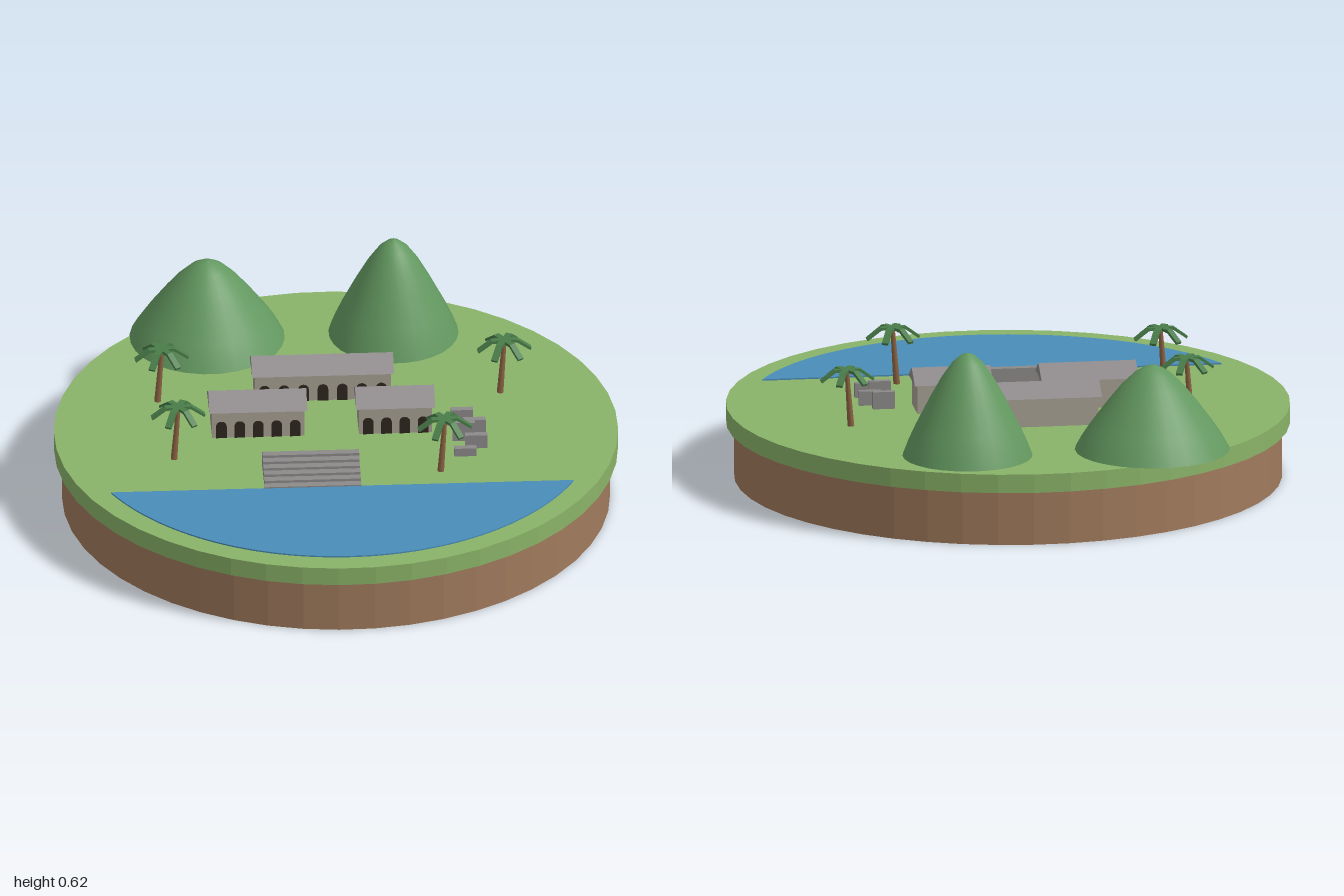
import * as THREE from 'three';

const mat = (name, color) => {
  const m = new THREE.MeshStandardMaterial({ color });
  m.name = name;
  return m;
};

export function createModel() {
  const grass = mat('grass', 0x8ab368), soil = mat('soil', 0xa07a5c), water = mat('water', 0x4a8db8);
  const hillGreen = mat('hill green', 0x639860), wall = mat('wall stone', 0xa8a193), roofGrey = mat('roof grey', 0x8f8a8c);
  const dark = mat('arch dark', 0x2e2620), stone = mat('step stone', 0x8d8a8a);
  const bark = mat('bark', 0x8a6242), leaf = mat('palm leaf', 0x4a7d4a);

  const model = new THREE.Group();
  const G = 0.255; // ground level
  const CZ = 0.037; // centre of the disc along z
  const add = (parent, name, geo, material, x = 0, y = 0, z = 0) => {
    const mesh = new THREE.Mesh(geo, material);
    mesh.name = name;
    mesh.position.set(x, y, z);
    parent.add(mesh);
    return mesh;
  };
  const faceted = (geo) => {
    const g = geo.toNonIndexed();
    g.computeVertexNormals();
    return g;
  };

  // Round base
  add(model, 'soilBase', faceted(new THREE.CylinderGeometry(0.935, 0.935, 0.19, 48)), soil, 0, 0.095, CZ);
  add(model, 'grassDisc', faceted(new THREE.CylinderGeometry(0.9625, 0.9625, 0.065, 48)), grass, 0, 0.2225, CZ);

  // Hills: smooth bell profile turned around its axis
  const profile = [[1, 0], [0.92, 0.13], [0.81, 0.28], [0.58, 0.56], [0.4, 0.76], [0.23, 0.91], [0.1, 0.98], [0, 1]];
  for (const [x, z, r, h] of [[-0.148, -0.735, 0.265, 0.295], [0.449, -0.515, 0.222, 0.36]]) {
    const pts = profile.map(([a, b]) => new THREE.Vector2(a * r, b * h));
    add(model, 'hill', new THREE.LatheGeometry(pts, 28), hillGreen, x, G, z);
  }

  // Village is turned 20 degrees against the front
  const village = new THREE.Group();
  village.name = 'village';
  village.position.set(0, G, CZ);
  village.rotation.y = -Math.PI / 9;
  model.add(village);

  // Water: a segment of a circle, cut along its shore
  const R = 0.885, a = Math.asin(0.399 / R);
  const pond = new THREE.Shape();
  pond.absarc(0, 0, R, a, Math.PI - a, false);
  pond.closePath();
  const pondGeo = new THREE.ExtrudeGeometry(pond, { depth: 0.006, bevelEnabled: false, curveSegments: 32 });
  pondGeo.rotateX(Math.PI / 2);
  add(village, 'water', pondGeo, water, 0, 0.005, 0);

  // Buildings with gabled roofs and a row of arches on the front
  const arch = new THREE.Shape();
  const aw = 0.018, ah = 0.044;
  arch.moveTo(-aw, 0);
  arch.lineTo(aw, 0);
  arch.lineTo(aw, ah);
  arch.absarc(0, ah, aw, 0, Math.PI, false);
  arch.closePath();
  const archGeo = new THREE.ExtrudeGeometry(arch, { depth: 0.004, bevelEnabled: false, curveSegments: 8 });
  const building = (x, z, length, width, arches) => {
    const house = new THREE.Group();
    house.name = 'building';
    house.position.set(x, 0, z);
    village.add(house);
    const wl = length - 0.02, ww = width - 0.02;
    add(house, 'walls', new THREE.BoxGeometry(wl, 0.1, ww), wall, 0, 0.05, 0);
    const gable = new THREE.Shape([
      new THREE.Vector2(-width / 2, 0), new THREE.Vector2(width / 2, 0), new THREE.Vector2(0, 0.045)]);
    const roof = new THREE.ExtrudeGeometry(gable, { depth: length, bevelEnabled: false });
    roof.translate(0, 0, -length / 2).rotateY(Math.PI / 2);
    add(house, 'roof', roof, roofGrey, 0, 0.1, 0);
    for (let i = 0; i < arches; i++) {
      add(house, 'arch', archGeo, dark, ((i + 0.5) / arches - 0.5) * wl, 0, ww / 2);
    }
  };
  building(-0.033, -0.273, 0.485, 0.145, 7);
  building(-0.267, -0.039, 0.335, 0.16, 5);
  building(0.202, -0.039, 0.27, 0.16, 4);

  // Steps leading down to the water
  const steps = 6, tread = 0.165 / steps;
  for (let i = 0; i < steps; i++) {
    const h = 0.056 * (steps - i) / steps;
    add(village, 'step', new THREE.BoxGeometry(0.33, h, tread), stone, -0.1, h / 2, 0.236 + tread * (i + 0.5));
  }

  // Zigzag of standing blocks
  [0.06, 0.05, 0.07, 0.05, 0.03].forEach((h, i) => {
    add(village, 'stoneBlock', new THREE.BoxGeometry(0.076, h, 0.023), stone, i % 2 ? 0.471 : 0.431, h / 2, -0.019 + 0.0535 * i);
  });

  // Palms: leaning trunk and six bent fronds
  const trunkGeo = new THREE.CylinderGeometry(0.008, 0.012, 0.19, 8);
  trunkGeo.translate(0, 0.095, 0);
  const frondShape = new THREE.Shape([[0, 0], [0.045, 0], [0.093, -0.036], [0.089, -0.044], [0.042, -0.01], [0, -0.01]]
    .map(([x, y]) => new THREE.Vector2(x, y)));
  const frondGeo = new THREE.ExtrudeGeometry(frondShape, { depth: 0.022, bevelEnabled: false });
  frondGeo.translate(0, 0, -0.011);
  for (const [x, z] of [[-0.465, -0.388], [-0.571, 0.003], [0.634, 0.013], [0.233, 0.436]]) {
    const palm = new THREE.Group();
    palm.name = 'palm';
    palm.position.set(x, G, z);
    model.add(palm);
    add(palm, 'trunk', trunkGeo, bark, -0.015, 0, 0).rotation.z = -0.08;
    for (let i = 0; i < 6; i++) {
      const frond = add(palm, 'frond', frondGeo, leaf, 0, 0.203, 0);
      frond.rotation.y = -(15 + 60 * i) * Math.PI / 180;
    }
  }
  return model;
}
